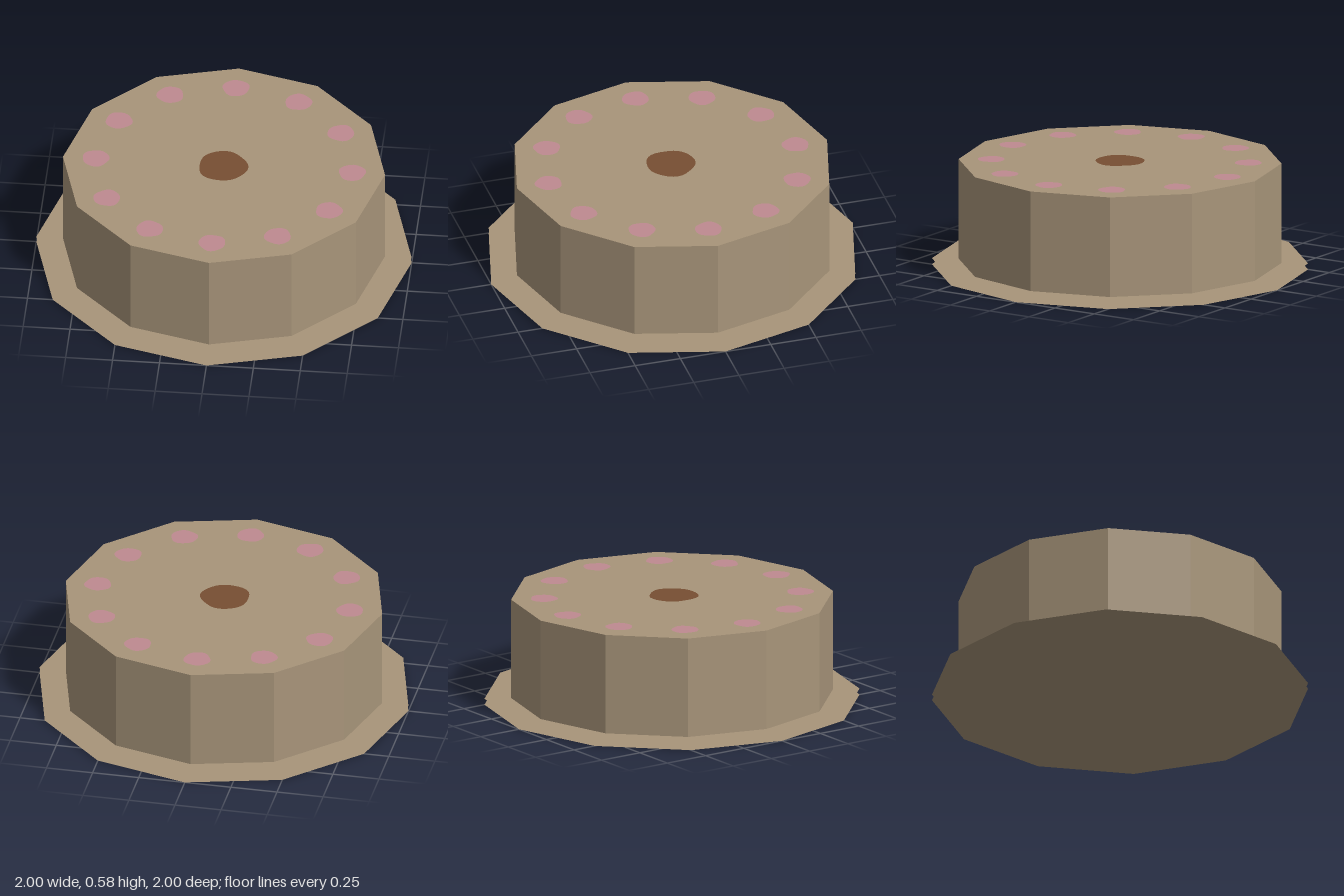
import * as THREE from 'three';

const SIDES = 12;
const BRIM_Y = 0.033, TOP_Y = 0.575, DRUM_R = 0.858;

export function createModel() {
  const model = new THREE.Group();
  const tan = new THREE.MeshStandardMaterial({ name: 'tan', color: 0xa8957a, side: THREE.DoubleSide, flatShading: true });
  const pink = new THREE.MeshStandardMaterial({ name: 'pink', color: 0xbf8a90 });
  const brown = new THREE.MeshStandardMaterial({ name: 'brown', color: 0x774e32 });

  const add = (name, geometry, material, x = 0, y = 0, z = 0) => {
    const mesh = new THREE.Mesh(geometry, material);
    mesh.name = name;
    mesh.position.set(x, y, z);
    model.add(mesh);
    return mesh;
  };

  // Flat horizontal twelve-sided sheet, facing up or down
  const sheet = (radius, up) =>
    new THREE.CircleGeometry(radius, SIDES).rotateX(up ? -Math.PI / 2 : Math.PI / 2);

  // Hand-painted dab: a circle with a slightly wavy outline
  const dab = (radius, wave, seed) => {
    const points = [];
    for (let i = 0; i < 32; i++) {
      const a = (i / 32) * Math.PI * 2;
      const r = radius * (1 + wave * (Math.sin(3 * a + seed * 2.1) + 0.7 * Math.sin(5 * a + seed * 1.3)));
      points.push(new THREE.Vector2(r * Math.cos(a), r * Math.sin(a)));
    }
    return new THREE.ShapeGeometry(new THREE.Shape(points)).rotateX(-Math.PI / 2);
  };

  // Brim: two separate sheets without a rim wall
  add('brimBottom', sheet(1, false), tan);
  add('brimTop', sheet(1, true), tan, 0, BRIM_Y);

  // Drum wall and lid
  const height = TOP_Y - BRIM_Y;
  add('drumWall', new THREE.CylinderGeometry(DRUM_R, DRUM_R, height, SIDES, 1, true), tan, 0, BRIM_Y + height / 2);
  add('drumLid', sheet(DRUM_R, true), tan, 0, TOP_Y);

  // Painted centre and the ring of twelve dabs
  add('centreSpot', dab(0.13, 0.03, 1), brown, -0.005, TOP_Y + 0.002, 0.005);
  for (let i = 0; i < 12; i++) {
    const a = (i / 12) * Math.PI * 2;
    add('ringSpot', dab(0.071, 0.035, i), pink, 0.683 * Math.cos(a), TOP_Y + 0.002, 0.683 * Math.sin(a));
  }
  return model;
}
